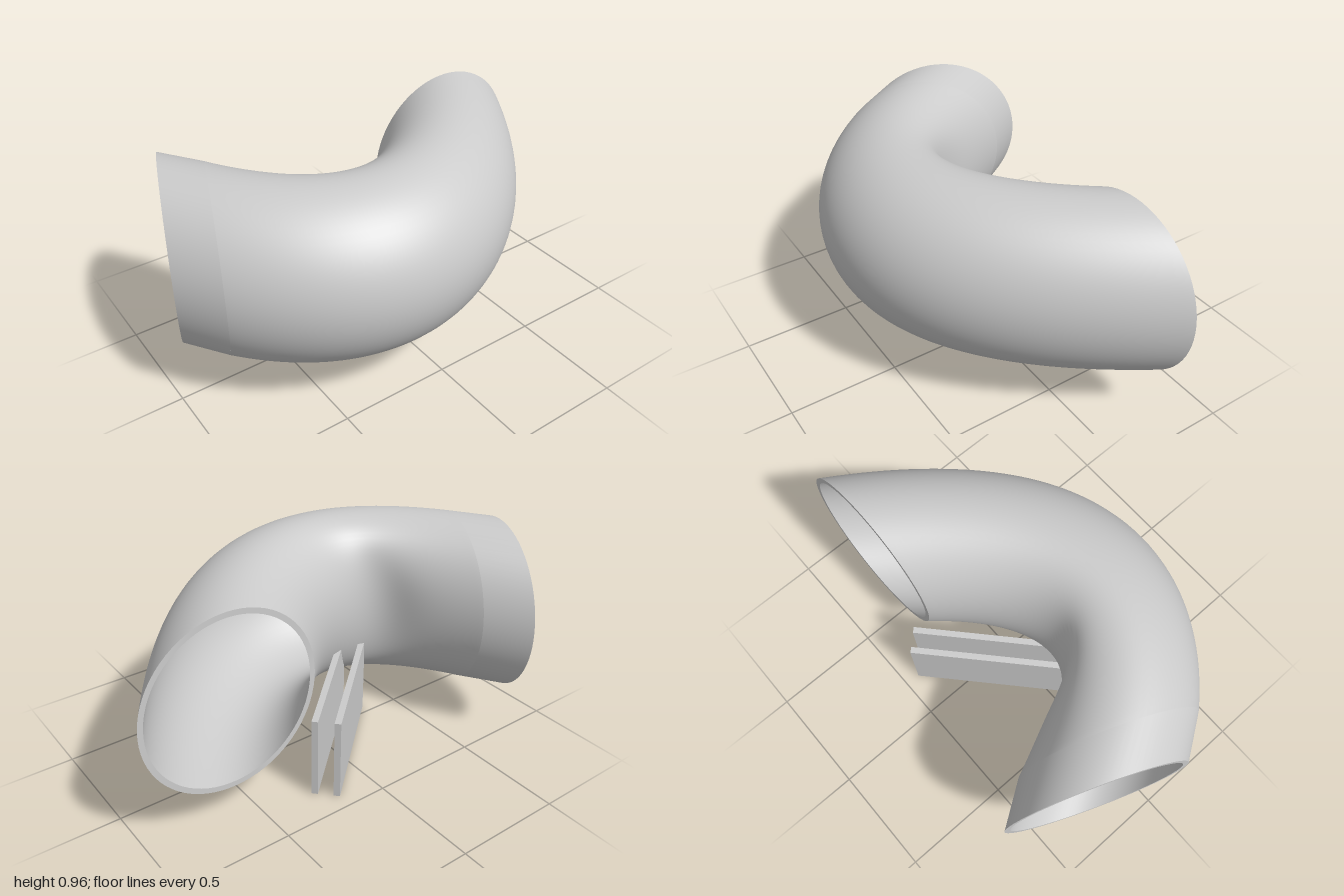
import * as THREE from 'three';

const SIDES = 72, STEPS = 64;
const OUTER = 0.397, INNER = 0.373, AXIS_Y = 0.565;
const material = new THREE.MeshStandardMaterial({ color: 0xcccccc, side: THREE.DoubleSide });

// Loft through circular rows; each row has a centre (x, z), a heading angle and a radius.
function loft(name, rows) {
  const positions = [], index = [];
  for (const { x, z, angle, r } of rows) {
    for (let j = 0; j < SIDES; j++) {
      const a = (j / SIDES) * Math.PI * 2;
      const w = r * Math.cos(a);
      positions.push(x + w * Math.cos(angle), AXIS_Y + r * Math.sin(a), z + w * Math.sin(angle));
    }
  }
  for (let i = 0; i < rows.length - 1; i++) {
    for (let j = 0; j < SIDES; j++) {
      const k = (j + 1) % SIDES;
      const a = i * SIDES + j, b = i * SIDES + k, c = a + SIDES, d = b + SIDES;
      index.push(a, c, b, b, c, d);
    }
  }
  const geometry = new THREE.BufferGeometry();
  geometry.setAttribute('position', new THREE.Float32BufferAttribute(positions, 3));
  geometry.setIndex(index);
  geometry.computeVertexNormals();
  const mesh = new THREE.Mesh(geometry, material);
  mesh.name = name;
  return mesh;
}

export function createModel() {
  const model = new THREE.Group();
  model.name = 'bentPipe';

  // Centre line: a short straight run, then one long bend (2D: x, z)
  const startDir = THREE.MathUtils.degToRad(56), endDir = THREE.MathUtils.degToRad(-55.4);
  const polar = (p, angle, d) => new THREE.Vector2(p.x + d * Math.cos(angle), p.y + d * Math.sin(angle));
  const start = new THREE.Vector2(-0.855, -0.27);
  const bendStart = polar(start, startDir, 0.22);
  const end = new THREE.Vector2(0.603, -0.283);
  const bend = new THREE.CubicBezierCurve(
    bendStart, polar(bendStart, startDir, 0.67), polar(end, endDir, -0.82), end);

  // The section keeps a fixed skew to the path, so the far mouth lies square to z
  const straightRows = [start, bendStart].map((p) => ({ x: p.x, z: p.y, angle: startDir - endDir }));
  const bendRows = [];
  for (let i = 0; i <= STEPS; i++) {
    const p = bend.getPoint(i / STEPS), t = bend.getTangent(i / STEPS);
    bendRows.push({ x: p.x, z: p.y, angle: Math.atan2(t.y, t.x) - endDir });
  }
  const sized = (rows, r) => rows.map((row) => ({ ...row, r }));
  const first = straightRows[0], last = bendRows[STEPS];

  // Pipe walls and the two rims
  const pipe = new THREE.Group();
  pipe.name = 'pipe';
  pipe.add(
    loft('outerStraightWall', sized(straightRows, OUTER)),
    loft('outerBendWall', sized(bendRows, OUTER)),
    loft('leftRim', [{ ...last, r: OUTER }, { ...last, r: INNER }]),
    loft('innerBendWall', sized(bendRows, INNER).reverse()),
    loft('innerStraightWall', sized(straightRows, INNER).reverse()),
    loft('rightRim', [{ ...first, r: INNER }, { ...first, r: OUTER }]));
  model.add(pipe);

  // Two parallel upright support plates
  for (const [name, x, z] of [['rearPlate', -0.068, -0.182], ['frontPlate', -0.001, -0.113]]) {
    const plate = new THREE.Mesh(new THREE.BoxGeometry(0.705, 0.375, 0.028), material);
    plate.name = name;
    plate.position.set(x, 0.1875, z);
    plate.rotation.y = THREE.MathUtils.degToRad(42.7);
    model.add(plate);
  }
  return model;
}
